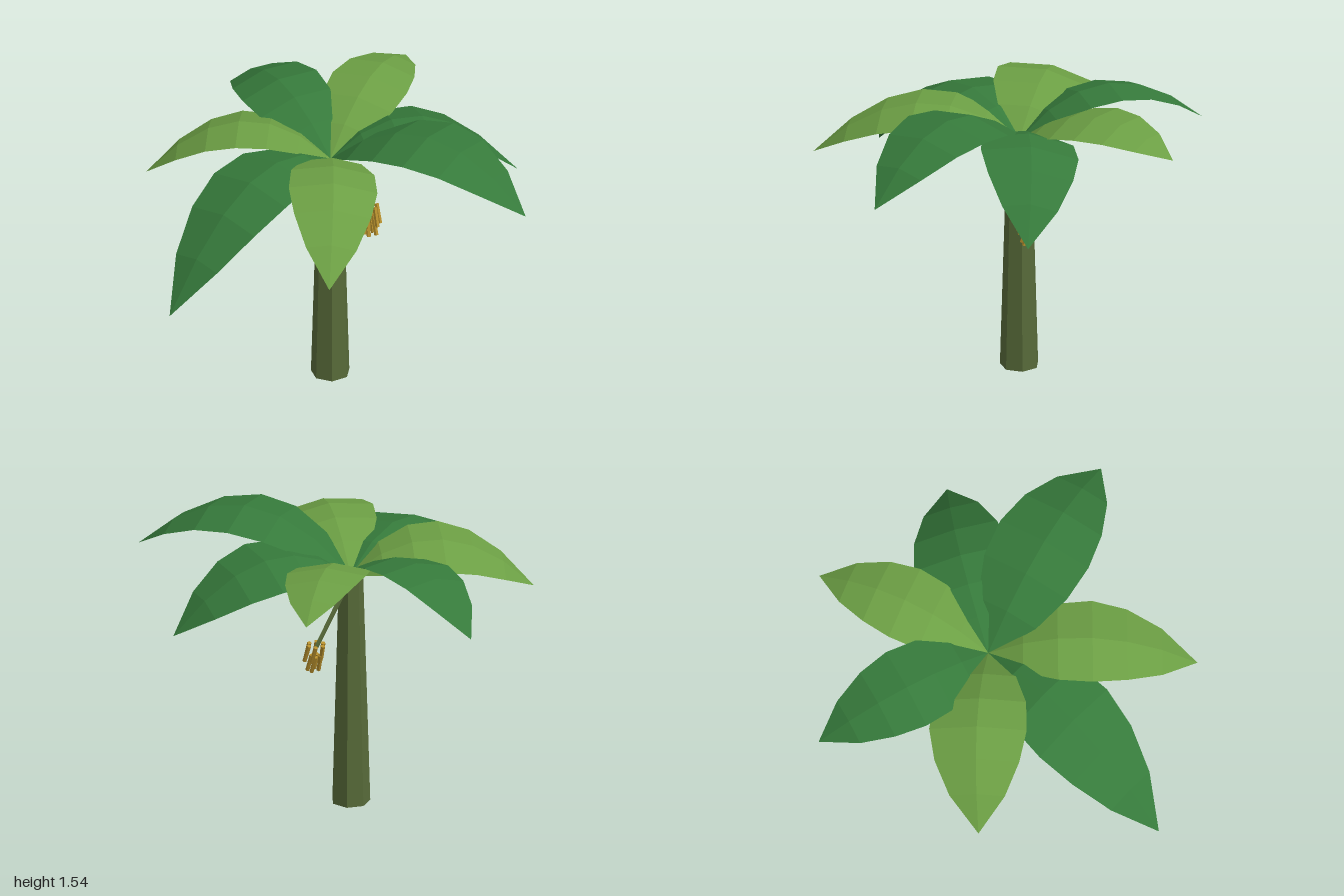
import * as THREE from 'three';

const CX = 0.035, CZ = -0.03, CROWN = 1.25;

function material(name, color, side = THREE.FrontSide) {
  const m = new THREE.MeshStandardMaterial({ color, side });
  m.name = name;
  return m;
}

// Faceted mesh: every face keeps its own normal
function facetedMesh(name, geometry, mat) {
  const flat = geometry.index ? geometry.toNonIndexed() : geometry;
  flat.computeVertexNormals();
  const mesh = new THREE.Mesh(flat, mat);
  mesh.name = name;
  return mesh;
}

// Straight rod between two points
function rod(name, from, to, r0, r1, sides, mat) {
  const dir = new THREE.Vector3().subVectors(to, from);
  const mesh = facetedMesh(name, new THREE.CylinderGeometry(r1, r0, dir.length(), sides), mat);
  mesh.position.addVectors(from, to).multiplyScalar(0.5);
  mesh.quaternion.setFromUnitVectors(new THREE.Vector3(0, 1, 0), dir.normalize());
  return mesh;
}

// Leaf along local +x: arched spine (rise*t - drop*t^2) with both edges folded down
const WIDTHS = [0.06, 0.66, 0.94, 1, 0.87, 0.57, 0.004];
function leafGeometry(length, half, rise, drop) {
  const pos = [], index = [], rows = WIDTHS.length;
  WIDTHS.forEach((f, i) => {
    const t = i / (rows - 1), w = f * half;
    const y = rise * t - drop * t * t;
    for (const s of [-1, 0, 1]) pos.push(length * t, y - Math.abs(s) * w * 0.18, s * w);
  });
  for (let i = 0; i < rows - 1; i++) {
    for (let j = 0; j < 2; j++) {
      const a = i * 3 + j, b = a + 1, c = a + 3, d = a + 4;
      index.push(a, b, d, a, d, c);
    }
  }
  const g = new THREE.BufferGeometry();
  g.setAttribute('position', new THREE.Float32BufferAttribute(pos, 3));
  g.setIndex(index);
  return g;
}

export function createModel() {
  const group = new THREE.Group();
  group.name = 'palmPlant';
  const bark = material('barkGreen', 0x576a39);
  const dark = material('darkLeafGreen', 0x367a3b, THREE.DoubleSide);
  const light = material('lightLeafGreen', 0x6c9f44, THREE.DoubleSide);
  const yellow = material('fruitYellow', 0xb58e2c);

  // Seven-sided tapering trunk
  const trunk = facetedMesh('trunk',
    new THREE.CylinderGeometry(0.064, 0.1, CROWN, 7, 1, false, Math.PI / 2), bark);
  trunk.position.set(CX, CROWN / 2, CZ);
  group.add(trunk);

  // Leaves: tip x, tip z, half width, rise, drop, roll
  const leaves = [
    [-0.15, -0.99, 0.215, 0.92, 0.94, -0.15, dark],
    [0.65, -0.73, 0.205, 0.834, 0.724, 0.07, light],
    [1.0, 0.04, 0.25, 0.87, 1.05, -0.14, dark],
    [0.8, 0.82, 0.257, 1.18, 1.18, 0, dark],
    [-0.28, 0.98, 0.225, 0.81, 0.96, -0.08, light],
    [-1.0, 0.54, 0.25, 0.86, 1.28, 0, dark],
    [-0.83, -0.38, 0.25, 0.85, 0.96, 0.14, light],
  ];
  leaves.forEach(([x, z, half, rise, drop, roll, mat], i) => {
    const dx = x - CX, dz = z - CZ;
    const leaf = facetedMesh('leaf' + (i + 1),
      leafGeometry(Math.hypot(dx, dz), half, rise, drop), mat);
    leaf.rotation.set(roll, Math.atan2(-dz, dx), 0, 'YXZ');
    leaf.position.set(CX, CROWN, CZ);
    // roll about the leaf's own axis, then turn outward
    leaf.quaternion.setFromAxisAngle(new THREE.Vector3(0, 1, 0), Math.atan2(-dz, dx))
      .multiply(new THREE.Quaternion().setFromAxisAngle(new THREE.Vector3(1, 0, 0), roll));
    group.add(leaf);
  });

  // Fruit stalk and two tiers of slanting fruit
  group.add(rod('fruitStalk', new THREE.Vector3(0.07, 1.2, -0.05),
    new THREE.Vector3(0.26, 0.91, -0.08), 0.014, 0.011, 5, bark));
  const bunch = new THREE.Group();
  bunch.name = 'fruitBunch';
  for (const [count, radius, top, phase] of [[6, 0.04, 0.92, 0], [4, 0.022, 0.86, 0.6]]) {
    for (let i = 0; i < count; i++) {
      const a = phase + (i / count) * Math.PI * 2;
      const x = 0.25 + Math.cos(a) * radius, z = -0.065 + Math.sin(a) * radius;
      bunch.add(rod('fruit', new THREE.Vector3(x, top, z),
        new THREE.Vector3(x + Math.cos(a) * 0.008, top - 0.095, z + 0.035), 0.012, 0.011, 5, yellow));
    }
  }
  group.add(bunch);
  return group;
}
